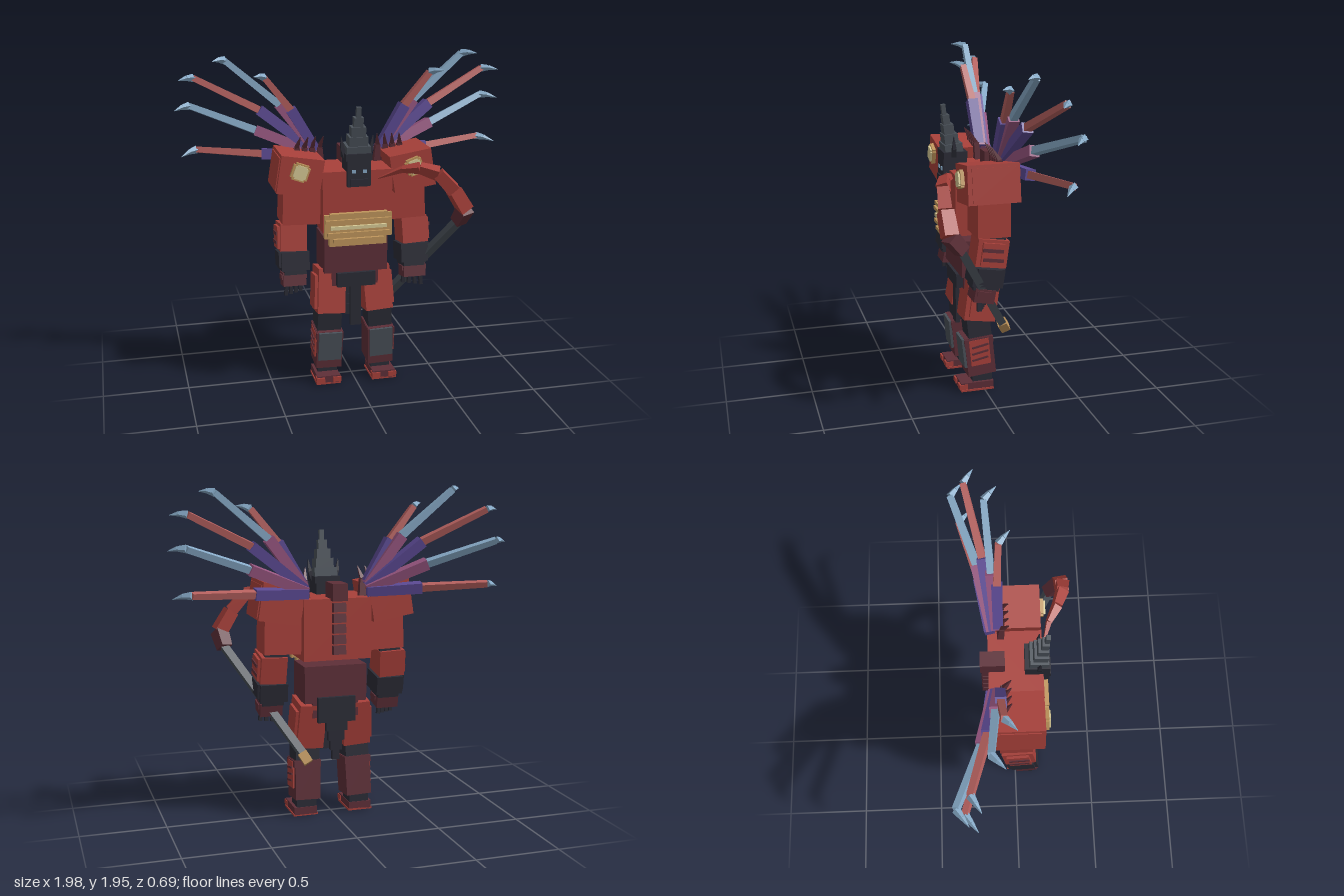
import * as THREE from 'three';

const mat = (name, color) => {
  const m = new THREE.MeshStandardMaterial({ color });
  m.name = name;
  return m;
};

export function createModel() {
  const red = mat('armour red', 0xa8403a), maroon = mat('maroon', 0x5e2f38);
  const dark = mat('charcoal', 0x2b2c36), grey = mat('slate grey', 0x4a5159);
  const gold = mat('gold', 0xc0965c), pale = mat('pale gold', 0xd8cb96);
  const blue = mat('feather blue', 0x86a9c6), coral = mat('feather coral', 0xb5605e);
  const purple = mat('purple', 0x5c4a94), mauve = mat('mauve', 0x96557f);

  const model = new THREE.Group();
  model.name = 'wingedArmouredFigure';
  const group = (name) => {
    const g = new THREE.Group();
    g.name = name;
    model.add(g);
    return g;
  };
  const box = (g, name, m, [w, h, d], [x, y, z], [rx, ry, rz] = [0, 0, 0]) => {
    const mesh = new THREE.Mesh(new THREE.BoxGeometry(w, h, d), m);
    mesh.name = name;
    mesh.position.set(x, y, z);
    mesh.rotation.set(rx, ry, rz);
    g.add(mesh);
    return mesh;
  };
  // Square beam between two points, with a width at each end
  const beam = (g, name, m, a, b, w0, w1) => {
    const A = new THREE.Vector3(...a), B = new THREE.Vector3(...b);
    const dir = B.clone().sub(A);
    const geo = new THREE.CylinderGeometry(w1 * 0.707, w0 * 0.707, dir.length(), 4).rotateY(Math.PI / 4);
    const mesh = new THREE.Mesh(geo.toNonIndexed(), m);
    mesh.geometry.computeVertexNormals();
    mesh.name = name;
    mesh.position.copy(A).add(B).multiplyScalar(0.5);
    mesh.quaternion.setFromUnitVectors(new THREE.Vector3(0, 1, 0), dir.normalize());
    g.add(mesh);
  };

  // Torso, waist and belt
  const torso = group('torso');
  box(torso, 'chest', red, [0.41, 0.36, 0.31], [0, 1.14, 0.01]);
  box(torso, 'waist', maroon, [0.38, 0.22, 0.23], [0, 0.81, 0.01]);
  box(torso, 'hips', maroon, [0.28, 0.12, 0.2], [0, 0.67, 0]);
  box(torso, 'bellyPlate', gold, [0.4, 0.14, 0.04], [0, 1.0, 0.165]);
  box(torso, 'bellyPlateLower', gold, [0.34, 0.07, 0.04], [0, 0.915, 0.16]);
  [0.34, 0.39, 0.33, 0.37, 0.3].forEach((w, i) =>
    box(torso, 'bellyRib', i === 2 ? pale : gold, [w, 0.02, 0.03], [0, 1.07 - i * 0.038, 0.185]));
  box(torso, 'beltFront', dark, [0.23, 0.085, 0.04], [0, 0.655, 0.12]);
  box(torso, 'beltBack', dark, [0.23, 0.15, 0.03], [0, 0.66, -0.115]);
  box(torso, 'loinclothFront', dark, [0.065, 0.26, 0.025], [0, 0.49, 0.11]);
  [0.13, 0.1, 0.07, 0.045].forEach((w, i) =>
    box(torso, 'loinclothBack', dark, [w, 0.07, 0.03], [0, 0.565 - i * 0.06, -0.11 + i * 0.005]));

  // Spine ridge down the back
  box(torso, 'neckBlock', maroon, [0.09, 0.1, 0.14], [0, 1.36, -0.12]);
  for (let i = 0; i < 5; i++)
    box(torso, 'vertebra', maroon, [0.075, 0.052, 0.05], [0, 1.27 - i * 0.062, -0.158], [0.12, 0, 0]);

  // Head with a stepped, forward-leaning crown
  const head = group('head');
  box(head, 'face', dark, [0.135, 0.16, 0.14], [0, 1.315, 0.13]);
  box(head, 'jaw', dark, [0.1, 0.04, 0.02], [0, 1.26, 0.2]);
  box(head, 'brow', dark, [0.155, 0.04, 0.14], [0, 1.405, 0.13]);
  [[0.14, 0.06, 0.105], [0.11, 0.06, 0.08], [0.085, 0.06, 0.06], [0.055, 0.06, 0.04], [0.028, 0.07, 0.025]]
    .forEach(([w, h, d], i) =>
      box(head, 'crownTier', grey, [w, h, d], [0, 1.44 + i * 0.054, 0.137 + i * 0.011], [0.12, 0, 0]));
  for (const s of [-1, 1]) {
    box(head, 'eye', blue, [0.022, 0.02, 0.006], [s * 0.032, 1.325, 0.202]);
    beam(head, 'horn', dark, [s * 0.065, 1.4, 0.14], [s * 0.085, 1.45, 0.14], 0.03, 0.022);
    beam(head, 'horn', dark, [s * 0.085, 1.45, 0.14], [s * 0.093, 1.52, 0.145], 0.022, 0.003);
  }

  for (const s of [-1, 1]) {
    const side = s > 0 ? 'left' : 'right';

    // Arm, from shoulder block to fingers
    const arm = group(side + 'Arm');
    box(arm, 'shoulder', red, [0.25, 0.22, 0.3], [s * 0.33, 1.3, 0.01], [0, 0, s * 0.16]);
    box(arm, 'shoulderSidePlate', red, [0.02, 0.19, 0.25], [s * 0.45, 1.315, 0.01], [0, 0, s * 0.16]);
    const gem = [[0.1, 0.075, gold, 0.166], [0.075, 0.1, gold, 0.166], [0.075, 0.06, pale, 0.176], [0.055, 0.08, pale, 0.176]];
    gem.forEach(([w, h, m, z]) => box(arm, 'shoulderGem', m, [w, h, 0.03], [s * 0.335, 1.33, z], [0, 0, s * 0.35]));
    box(arm, 'upperArm', red, [0.22, 0.2, 0.19], [s * 0.315, 1.1, 0], [0, 0, s * 0.03]);
    box(arm, 'elbow', dark, [0.13, 0.13, 0.15], [s * 0.35, 1.03, 0.005], [0, 0, s * 0.05]);
    box(arm, 'forearm', red, [0.155, 0.16, 0.18], [s * 0.365, 0.915, 0.015], [-0.15, 0, s * 0.04]);
    box(arm, 'forearmPlate', red, [0.03, 0.13, 0.13], [s * 0.443, 0.915, 0.015], [-0.15, 0, s * 0.04]);
    for (const dy of [-0.03, 0.025])
      box(arm, 'forearmBand', maroon, [0.008, 0.02, 0.12], [s * 0.46, 0.915 + dy, 0.015], [-0.15, 0, s * 0.04]);
    box(arm, 'gauntlet', dark, [0.165, 0.11, 0.18], [s * 0.36, 0.775, 0.035], [-0.15, 0, 0]);
    box(arm, 'gauntletPlate', dark, [0.03, 0.09, 0.14], [s * 0.44, 0.785, 0.035], [-0.15, 0, 0]);
    box(arm, 'gauntletRim', dark, [0.13, 0.04, 0.15], [s * 0.36, 0.715, 0.045], [-0.15, 0, 0]);
    box(arm, 'hand', maroon, [0.135, 0.08, 0.12], [s * 0.365, 0.665, 0.055], [-0.2, 0, 0]);
    box(arm, 'knuckles', maroon, [0.15, 0.03, 0.08], [s * 0.365, 0.68, 0.06], [-0.2, 0, 0]);
    for (let i = 0; i < 4; i++)
      box(arm, 'finger', dark, [0.02, 0.06, 0.025], [s * (0.318 + i * 0.031), 0.604, 0.03 + i * 0.018], [0, 0, s * (i - 1.5) * 0.06]);

    // Leg, from thigh to foot
    const leg = group(side + 'Leg');
    box(leg, 'thigh', red, [0.165, 0.27, 0.19], [s * 0.14, 0.565, 0.01], [-0.15, 0, s * 0.06]);
    box(leg, 'thighPlate', red, [0.03, 0.2, 0.14], [s * 0.225, 0.56, 0.01], [-0.15, 0, s * 0.06]);
    box(leg, 'knee', dark, [0.145, 0.13, 0.14], [s * 0.155, 0.39, 0.03], [0.1, 0, s * 0.04]);
    box(leg, 'shin', maroon, [0.155, 0.24, 0.17], [s * 0.158, 0.215, 0.025], [0.1, 0, s * 0.03]);
    box(leg, 'shinCuff', maroon, [0.165, 0.04, 0.175], [s * 0.158, 0.31, 0.035], [0.1, 0, s * 0.03]);
    box(leg, 'shinPlate', grey, [0.14, 0.18, 0.03], [s * 0.158, 0.235, 0.113], [0.1, 0, s * 0.03]);
    box(leg, 'calfPlate', red, [0.025, 0.16, 0.12], [s * 0.233, 0.245, 0.03], [0.1, 0, s * 0.03]);
    for (let i = 0; i < 3; i++)
      box(leg, 'calfStripe', maroon, [0.008, 0.012, 0.1], [s * 0.247, 0.285 - i * 0.04, 0.03], [0.2, 0, s * 0.03]);
    box(leg, 'ankle', dark, [0.12, 0.06, 0.12], [s * 0.165, 0.08, 0.01]);
    box(leg, 'foot', maroon, [0.14, 0.045, 0.2], [s * 0.172, 0.03, 0.045]);
    box(leg, 'footSole', red, [0.15, 0.012, 0.2], [s * 0.172, 0.006, 0.045]);
    for (const dx of [-0.05, 0.05])
      box(leg, 'toe', red, [0.05, 0.03, 0.05], [s * (0.172 + dx), 0.03, 0.13]);

    // Wing: [root end, outer elbow, claw tip, inner colour, shaft colour]
    const wing = group(side + 'Wing');
    const feathers = [
      [[0.5, 1.37, -0.18], [0.87, 1.39, -0.29], [0.965, 1.365, -0.22], purple, coral],
      [[0.53, 1.51, -0.19], [0.9, 1.645, -0.325], [0.99, 1.63, -0.26], mauve, blue],
      [[0.51, 1.635, -0.155], [0.875, 1.82, -0.245], [0.965, 1.815, -0.19], purple, coral],
      [[0.4, 1.67, -0.11], [0.705, 1.93, -0.135], [0.78, 1.935, -0.065], mauve, blue],
      [[0.34, 1.645, -0.08], [0.49, 1.835, -0.065], [0.56, 1.85, 0], purple, coral],
    ];
    const mir = ([x, y, z]) => [s * x, y, z];
    feathers.forEach(([a, b, c, inner, outer], i) => {
      const root = [0.18 + i * 0.004, 1.355 + i * 0.012, -0.13 + i * 0.012];
      const mid = b.map((v, k) => v * 0.55 + c[k] * 0.45 + (k === 1 ? 0.006 : 0));
      beam(wing, 'featherBase', inner, mir(root), mir(a), 0.055, 0.062);
      beam(wing, 'featherShaft', outer, mir(a), mir(b), 0.042, 0.034);
      beam(wing, 'featherKnuckle', blue, mir(b), mir(mid), 0.034, 0.022);
      beam(wing, 'featherClaw', blue, mir(mid), mir(c), 0.022, 0.002);
    });
    // Short spikes on top of the shoulder
    for (let i = 0; i < 4; i++) {
      const x = 0.17 + i * 0.045;
      beam(wing, 'shoulderSpikeBase', maroon, [s * x, 1.32, -0.07], [s * (x + 0.005), 1.42, -0.06], 0.04, 0.03);
      beam(wing, 'shoulderSpike', maroon, [s * (x + 0.005), 1.42, -0.06], [s * (x - 0.01), 1.49, -0.02], 0.025, 0.004);
    }
  }

  // Curved-blade pole weapon carried on the left side
  const scythe = group('scythe');
  const path = [[0.12, 1.27, 0.17], [0.25, 1.325, 0.21], [0.34, 1.34, 0.26], [0.44, 1.31, 0.295],
    [0.53, 1.21, 0.305], [0.605, 1.09, 0.3], [0.59, 1.0, 0.23]];
  const width = [0.005, 0.03, 0.05, 0.065, 0.075, 0.08, 0.07];
  for (let i = 0; i < 6; i++)
    beam(scythe, 'blade', i === 5 ? maroon : red, path[i], path[i + 1], width[i], width[i + 1]);
  beam(scythe, 'pole', grey, [0.6, 1.02, 0.245], [0.21, 0.41, -0.11], 0.045, 0.045);
  beam(scythe, 'poleCap', gold, [0.21, 0.41, -0.11], [0.18, 0.355, -0.145], 0.055, 0.055);

  return model;
}
